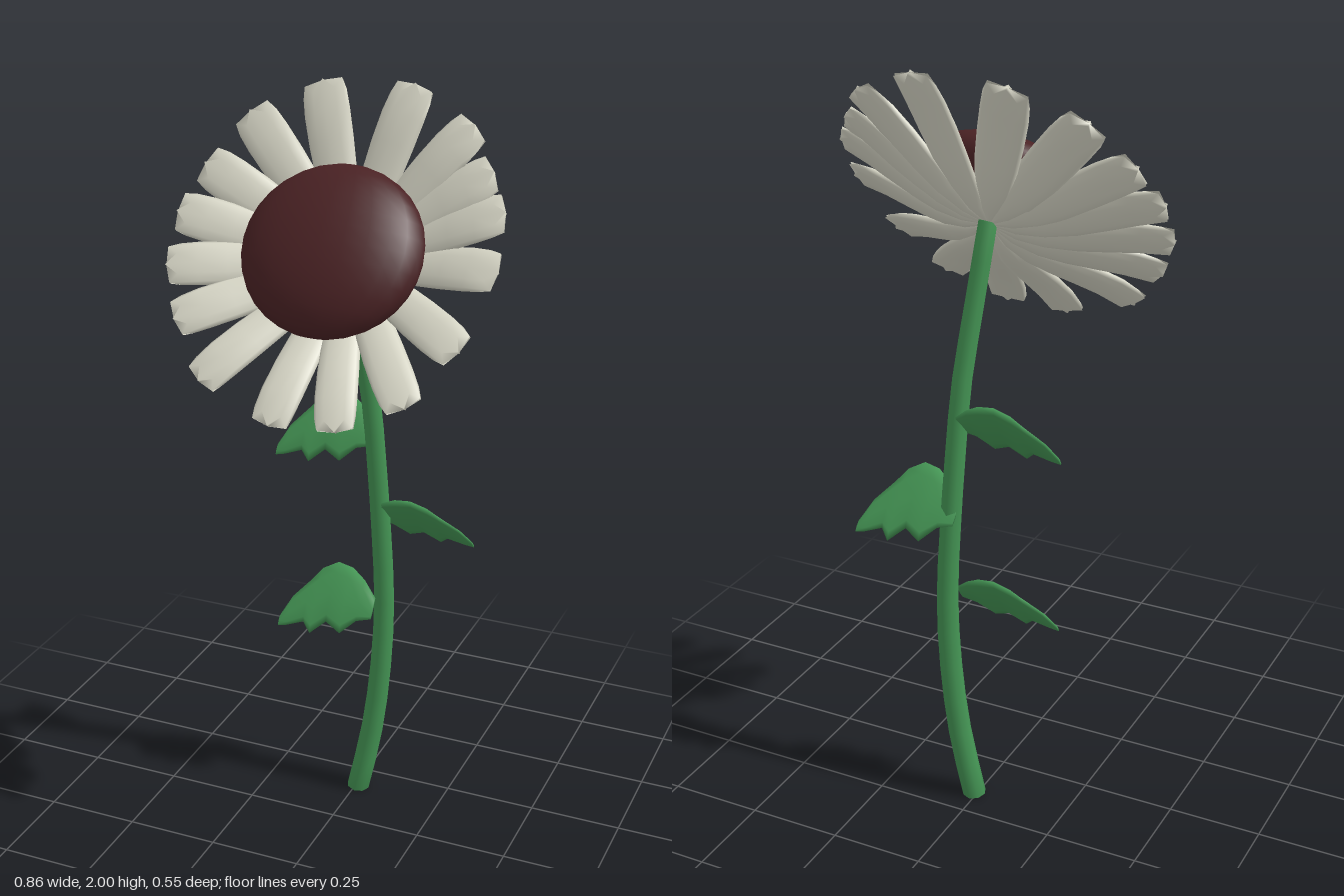
import * as THREE from 'three';
import { mergeVertices } from 'three/addons/utils/BufferGeometryUtils.js';

const petalMat = new THREE.MeshStandardMaterial({ color: 0xd9d8c8 });
petalMat.name = 'ivory petal';
const discMat = new THREE.MeshStandardMaterial({ color: 0x4a2224 });
discMat.name = 'dark brown disc';
const greenMat = new THREE.MeshStandardMaterial({ color: 0x459655 });
greenMat.name = 'stem and leaf green';

function named(name, geometry, material) {
  const mesh = new THREE.Mesh(geometry, material);
  mesh.name = name;
  return mesh;
}

// Rejoin seams so the shading is smooth
function smooth(geometry) {
  geometry.deleteAttribute('uv');
  geometry.deleteAttribute('normal');
  const g = mergeVertices(geometry, 1e-5);
  g.computeVertexNormals();
  return g;
}

// Lens-shaped petal along +y, lifting towards +z, with a three-toothed tip
function petalGeometry(length, width, lift) {
  const rows = 6;
  const halfWidth = [0.012, 0.5, 0.78, 0.93, 1, 1.02, 0.98];
  const halfThick = [0.004, 0.014, 0.018, 0.018, 0.018, 0.015, 0.008];
  const g = new THREE.CylinderGeometry(1, 1, 1, 12, rows);
  const p = g.attributes.position;
  for (let i = 0; i < p.count; i++) {
    const s = p.getX(i), t = p.getZ(i);
    const row = Math.round((p.getY(i) + 0.5) * rows);
    const a = Math.abs(s);
    let r = (length - 0.012) * row / rows;
    if (row === rows) r += a > 0.95 ? -0.026 : a > 0.7 ? 0.004 : a > 0.3 ? -0.018 : 0.012;
    const x = s * halfWidth[row] * width / 2;
    const h = lift * THREE.MathUtils.smoothstep(r, 0.04, 0.47);
    p.setXYZ(i, x, r, h + t * halfThick[row] + x * 0.08);
  }
  return smooth(g);
}

// Tapered stem swept along a curve
function stemGeometry(points, r0, r1) {
  const curve = new THREE.CatmullRomCurve3(points);
  const rows = 16, sides = 8;
  const g = new THREE.CylinderGeometry(1, 1, 1, sides, rows);
  const p = g.attributes.position;
  const up = new THREE.Vector3(0, 1, 0), q = new THREE.Quaternion(), v = new THREE.Vector3();
  for (let i = 0; i < p.count; i++) {
    const u = p.getY(i) + 0.5, r = r0 + (r1 - r0) * u;
    q.setFromUnitVectors(up, curve.getTangentAt(u));
    v.set(p.getX(i) * r, 0, p.getZ(i) * r).applyQuaternion(q).add(curve.getPointAt(u));
    p.setXYZ(i, v.x, Math.max(0, v.y), v.z);
  }
  return smooth(g);
}

// Leaf sections: distance outwards, top edge, bottom edge, half thickness
const leafSections = [
  [0, 0.02, -0.03, 0.006], [0.04, 0.055, -0.04, 0.012], [0.08, 0.078, -0.075, 0.015],
  [0.125, 0.085, -0.055, 0.015], [0.165, 0.065, -0.088, 0.014], [0.19, 0.035, -0.065, 0.012],
  [0.235, -0.012, -0.08, 0.009], [0.26, -0.06, -0.085, 0.004],
];

// Lens-shaped leaf; slope tilts it in depth
function leafGeometry(side, slope) {
  const rows = leafSections.length - 1;
  const g = new THREE.CylinderGeometry(1, 1, 1, 8, rows);
  const p = g.attributes.position;
  for (let i = 0; i < p.count; i++) {
    const [d, top, bottom, thick] = leafSections[Math.round((p.getY(i) + 0.5) * rows)];
    const y = (top + bottom) / 2 - side * p.getX(i) * (top - bottom) / 2;
    p.setXYZ(i, side * d, y, -slope * y + p.getZ(i) * thick);
  }
  return smooth(g);
}

export function createModel() {
  const model = new THREE.Group();
  model.name = 'flower';

  // Stem
  const path = [
    [0.008, 0, -0.165], [0.045, 0.2, -0.176], [0.066, 0.4, -0.182], [0.073, 0.6, -0.184],
    [0.066, 0.8, -0.177], [0.056, 1, -0.165], [0.045, 1.2, -0.146], [0.024, 1.4, -0.116],
    [0.002, 1.61, -0.082],
  ].map((c) => new THREE.Vector3(...c));
  model.add(named('stem', stemGeometry(path, 0.032, 0.025), greenMat));

  // Leaves: name, side, base, slope
  const leaves = [
    ['upperLeaf', -1, [0.045, 1.1, -0.168], 0.62],
    ['middleLeaf', 1, [0.042, 0.86, -0.187], -0.8],
    ['lowerLeaf', -1, [0.06, 0.603, -0.138], 0.66],
  ];
  for (const [name, side, base, slope] of leaves) {
    const leaf = named(name, leafGeometry(side, slope), greenMat);
    leaf.position.set(...base);
    model.add(leaf);
  }

  // Flower head, tilted upwards
  const head = new THREE.Group();
  head.name = 'flowerHead';
  head.position.set(0, 1.6, -0.08);
  head.rotation.x = -0.631;
  model.add(head);

  // Ring of petals, angles in degrees from the model's left; side petals lift more
  const angles = [-3, 17, 32, 50, 76, 108, 134, 157, 176, 195, 214, 236, 263, 284, 306, 329];
  angles.forEach((deg, i) => {
    const a = THREE.MathUtils.degToRad(deg), s = Math.sin(a);
    const length = 0.43 + 0.035 * s * s - 0.014 * s + 0.006 * Math.sin(i * 2.4);
    const lift = 0.106 - 0.024 * s * s;
    const petal = named('petal', petalGeometry(length, 0.112 + 0.008 * s, lift), petalMat);
    petal.rotation.z = a - Math.PI / 2;
    head.add(petal);
  });

  // Domed centre
  const disc = named('disc', new THREE.SphereGeometry(1, 24, 16), discMat);
  disc.scale.set(0.236, 0.223, 0.098);
  disc.position.set(0.003, -0.021, 0.1);
  head.add(disc);

  return model;
}
